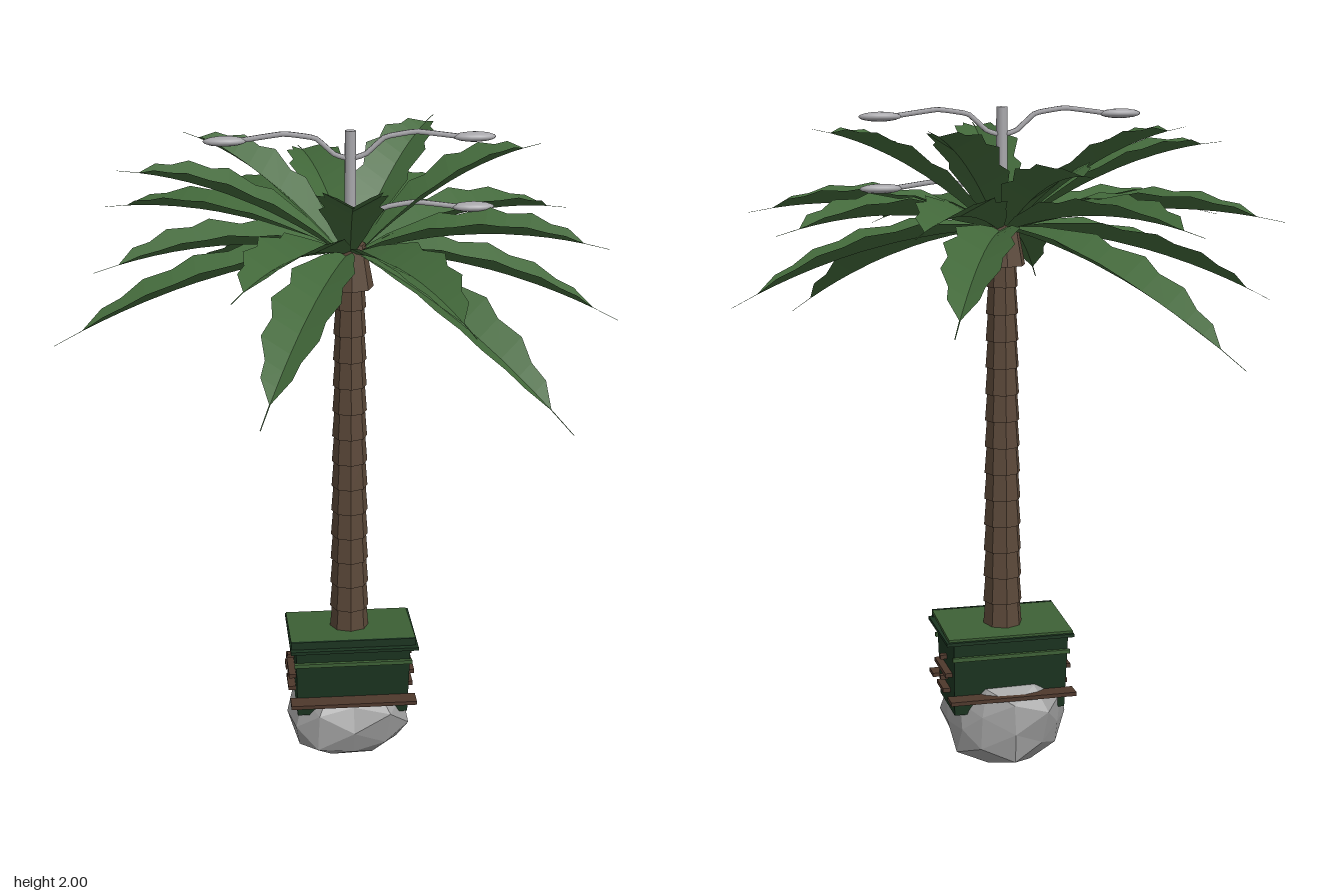
import * as THREE from 'three';

const mat = (name, color, side = THREE.FrontSide) => {
  const m = new THREE.MeshStandardMaterial({ color, side });
  m.name = name;
  return m;
};
const CX = 0.032, CZ = -0.02; // trunk axis

export function createModel() {
  const model = new THREE.Group();
  model.name = 'lampPalm';
  const leaf = mat('leaf green', 0x42683a, THREE.DoubleSide);
  const bark = mat('bark brown', 0x5a4738);
  const rockMat = mat('rock grey', 0x9c9c9c);
  const metal = mat('lamp grey', 0xa8a7ab);
  const binMat = mat('bin green', 0x1b3420);
  const lidMat = mat('lid green', 0x3d6035);
  const rust = mat('rust brown', 0x4e382c);

  const add = (name, geo, material, x = 0, y = 0, z = 0, parent = model) => {
    const m = new THREE.Mesh(geo, material);
    m.name = name;
    m.position.set(x, y, z);
    parent.add(m);
    return m;
  };
  const flat = (geo) => {
    const g = geo.index ? geo.toNonIndexed() : geo;
    g.computeVertexNormals();
    return g;
  };
  const box = (name, w, h, d, material, x, y, z) =>
    add(name, new THREE.BoxGeometry(w, h, d), material, x, y, z);

  // Boulder: blocky icosphere with position-hashed bumps
  const rock = new THREE.IcosahedronGeometry(1, 1);
  const p = rock.attributes.position;
  const v = new THREE.Vector3();
  const blocky = (c) => Math.sign(c) * Math.abs(c) ** 0.85;
  for (let i = 0; i < p.count; i++) {
    v.fromBufferAttribute(p, i);
    const h = Math.sin(Math.round(v.x * 50) * 12.9 + Math.round(v.y * 50) * 78.2 + Math.round(v.z * 50) * 37.7) * 437.58;
    const k = 0.85 + 0.2 * (h - Math.floor(h));
    p.setXYZ(i, blocky(v.x) * k * 0.197, THREE.MathUtils.clamp(blocky(v.y) * k * 0.15, -0.132, 0.135), blocky(v.z) * k * 0.183);
  }
  add('boulder', flat(rock), rockMat, 0.035, 0.136, -0.03);

  // Bin body, narrowing downward
  const body = new THREE.BoxGeometry(0.355, 0.24, 0.25);
  const bp = body.attributes.position;
  for (let i = 0; i < bp.count; i++) {
    if (bp.getY(i) < 0) {
      bp.setZ(i, bp.getZ(i) * 0.83);
      bp.setX(i, bp.getX(i) * 0.97);
    }
  }
  add('binBody', flat(body), binMat, 0.033, 0.302, -0.015);
  box('binRim', 0.395, 0.01, 0.28, binMat, 0.036, 0.418, -0.01);
  const lid = box('binLid', 0.385, 0.01, 0.25, lidMat, 0.033, 0.434, -0.015);
  lid.rotation.x = -0.07;
  box('lidFrontEdge', 0.385, 0.024, 0.008, binMat, 0.033, 0.437, 0.112);
  for (const s of [-1, 1]) {
    box('binRail', 0.365, 0.012, 0.012, lidMat, 0.033, 0.367, -0.015 + s * 0.126);
    box('plank', 0.39, 0.012, 0.055, rust, 0.033, 0.24, -0.015 + s * 0.135);
    // End bars, short brackets and casters
    for (const [y, depth] of [[0.245, 0.09], [0.275, 0.02], [0.305, 0.16], [0.34, 0.02]]) {
      box('endBar', 0.025, 0.013, depth, rust, 0.033 + s * 0.184, y, -0.02);
    }
    const wheel = add('caster', new THREE.CylinderGeometry(0.017, 0.017, 0.018, 8), rust, CX + s * 0.13, 0.178, -0.09);
    wheel.rotation.z = Math.PI / 2;
  }

  // Trunk: overlapping collars, each wider at its base
  const N = 14, y0 = 0.43, step = (1.56 - y0) / N;
  for (let i = 0; i < N; i++) {
    const r = 0.061 - 0.013 * (i / (N - 1));
    const collar = new THREE.CylinderGeometry(r - 0.007, r, step + 0.006, 8);
    add('trunkCollar', flat(collar), bark, CX, y0 + (i + 0.5) * step, CZ);
  }
  add('crownBase', flat(new THREE.CylinderGeometry(0.045, 0.07, 0.13, 8)), bark, CX, 1.605, CZ);

  // Frond tips: x, y, z
  const tips = [
    [0.335, 1.45, -0.755], [0.42, 1.70, -0.68], [0.735, 1.68, -0.345], [0.825, 1.43, 0.035],
    [0.75, 1.69, 0.19], [0.565, 1.315, 0.675], [0.295, 1.595, 0.685], [-0.015, 1.92, 0.575],
    [-0.275, 1.39, 0.765], [-0.34, 1.70, 0.665], [-0.705, 1.65, 0.165], [-0.835, 1.395, 0.027],
    [-0.685, 1.69, -0.44], [-0.455, 1.335, -0.77], [-0.34, 1.69, -0.745], [-0.08, 1.84, -0.58],
    [0.59, 1.945, -0.05], [-0.635, 1.89, -0.05], [0.33, 1.955, -0.45], [-0.44, 1.95, -0.28],
  ];
  // Stations along each blade: position, half width; the last two form the spike
  const stations = [
    [0, 0.014], [0.1, 0.046], [0.2, 0.066], [0.3, 0.092], [0.38, 0.076], [0.5, 0.1],
    [0.58, 0.076], [0.68, 0.082], [0.76, 0.05], [0.83, 0.044], [0.9, 0.002], [1, 0.0015],
  ];
  const fronds = new THREE.Group();
  fronds.name = 'fronds';
  model.add(fronds);

  for (const [x, y, z] of tips) {
    const out = new THREE.Vector3(x - CX, 0, z - CZ).normalize();
    const start = new THREE.Vector3(CX, 1.645, CZ).addScaledVector(out, 0.03);
    const end = new THREE.Vector3(x, y, z);
    const ctrl = start.clone().lerp(end, 0.5);
    ctrl.y += 0.1;
    const curve = new THREE.QuadraticBezierCurve3(start, ctrl, end);
    const side = new THREE.Vector3(-out.z, 0, out.x);
    // Each cross-section is a shallow V with raised edges
    const rows = stations.map(([t, w]) => {
      const mid = curve.getPoint(t);
      const edge = (s) => mid.clone().addScaledVector(side, s * w).add(new THREE.Vector3(0, 0.55 * w, 0));
      return [edge(-1), mid, edge(1)];
    });
    const pts = [];
    for (let i = 0; i < rows.length - 1; i++) {
      for (let k = 0; k < 2; k++) {
        const a = rows[i][k], b = rows[i][k + 1], c = rows[i + 1][k], d = rows[i + 1][k + 1];
        pts.push(a, b, d, a, d, c);
      }
    }
    const blade = new THREE.BufferGeometry().setFromPoints(pts);
    blade.computeVertexNormals();
    add('frond', blade, leaf, 0, 0, 0, fronds);
  }

  // Street lamp rising out of the crown
  add('lampPole', new THREE.CylinderGeometry(0.016, 0.018, 0.4, 10), metal, CX, 1.8, CZ);
  for (const [s, dy] of [[-1, 0], [1, 0], [1, -0.205]]) {
    const arm = new THREE.CatmullRomCurve3(
      [[0, 1.918], [0.045, 1.932], [0.1, 1.98], [0.19, 1.994], [0.31, 1.978]]
        .map(([x, y]) => new THREE.Vector3(CX + s * x, y + dy, CZ)), false, 'catmullrom', 0.15);
    add('lampArm', new THREE.TubeGeometry(arm, 20, 0.008, 6), metal);
    const head = add('lampHead', new THREE.SphereGeometry(1, 14, 8), metal, CX + s * 0.358, 1.976 + dy, CZ);
    head.scale.set(0.063, 0.014, 0.03);
  }
  return model;
}
